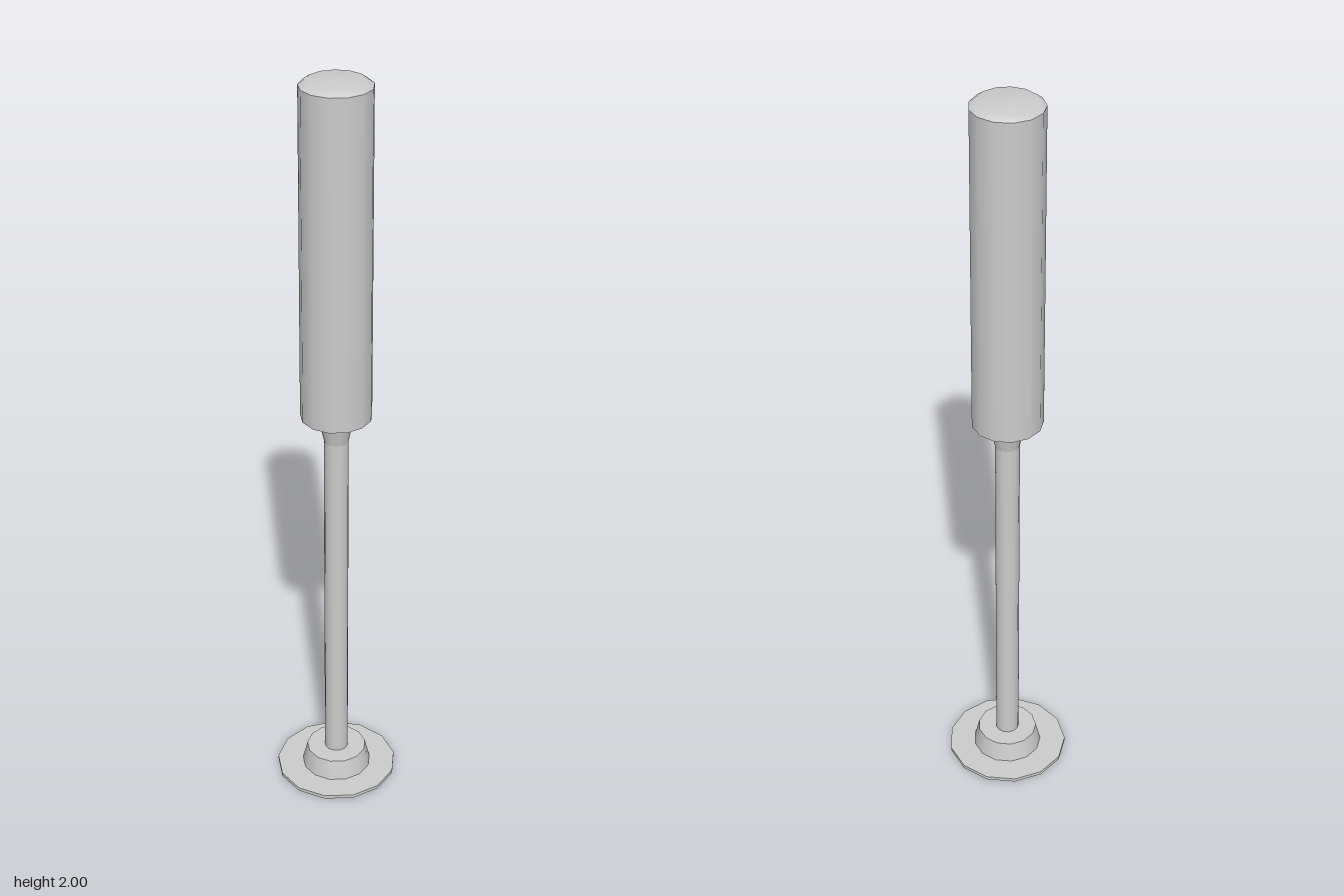
import * as THREE from 'three';

const SIDES = 13;

export function createModel() {
  const model = new THREE.Group();
  const material = new THREE.MeshStandardMaterial({ color: 0xcccccc, side: THREE.DoubleSide });

  // Each run of [radius, height] is shaded smoothly; edges between runs stay sharp.
  function turned(name, ...runs) {
    const part = new THREE.Group();
    part.name = name;
    runs.forEach((run, i) => {
      const points = run.map(([r, y]) => new THREE.Vector2(r, y));
      const mesh = new THREE.Mesh(new THREE.LatheGeometry(points, SIDES, Math.PI / 2), material);
      mesh.name = `${name}Surface${i + 1}`;
      part.add(mesh);
    });
    model.add(part);
  }

  // Thin ground flange, open in the middle
  turned('baseFlange',
    [[0.093, 0], [0.164, 0]],
    [[0.164, 0], [0.164, 0.01]],
    [[0.164, 0.01], [0.093, 0.01]]);

  // Hollow tapered collar with a flat top
  turned('baseCollar',
    [[0.094, 0], [0.094, 0.01], [0.081, 0.064]],
    [[0.081, 0.064], [0, 0.064]]);

  // Slim post and its flared neck
  turned('post', [[0.032, 0.064], [0.032, 1.045]]);
  turned('neck', [[0.032, 1.045], [0.044, 1.103]]);

  // Tall head: sloped underside, nearly straight wall, shallow domed cap
  turned('head',
    [[0.044, 1.103], [0.092, 1.117]],
    [[0.092, 1.117], [0.09, 1.985]],
    [[0.09, 1.985], [0.073, 1.997], [0, 2]]);

  // Centre the odd-sided outline on x
  model.children.forEach((part) => { part.position.x = -0.0024; });
  return model;
}
